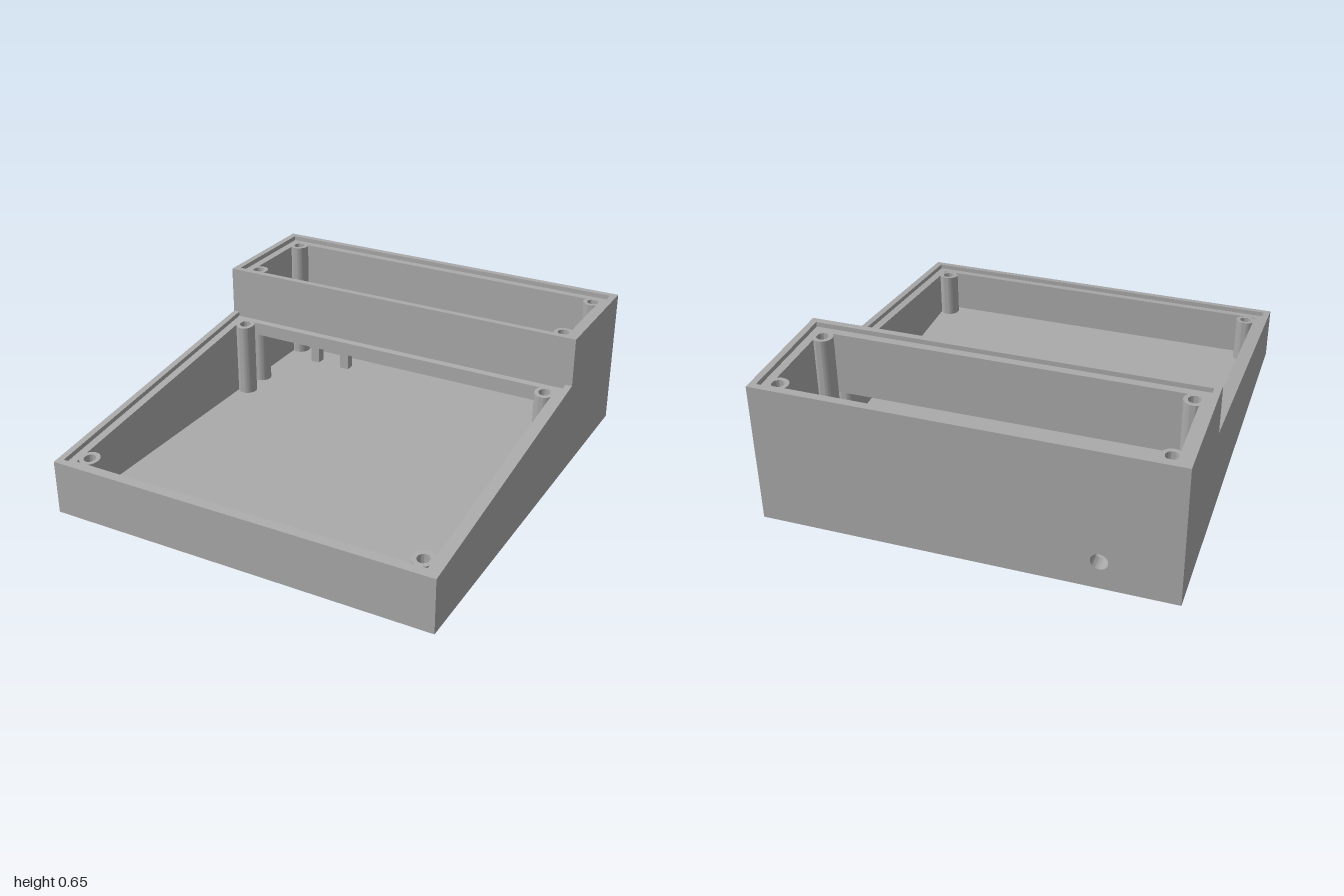
import * as THREE from 'three';
import { toCreasedNormals } from 'three/addons/utils/BufferGeometryUtils.js';

const W = 0.9, LIP = 0.03, WALL = 0.067, LEDGE = 0.022, FLOOR = 0.03;
const TALL = 0.65, STEP_Z = -0.41;
const SLOPE = (0.423 - 0.25) / (1 - STEP_Z);
const slopeY = z => 0.25 + (1 - z) * SLOPE;

export function createModel() {
  const group = new THREE.Group();
  const plastic = new THREE.MeshStandardMaterial({ color: 0xaaaaaa });
  plastic.name = 'grey plastic';

  const add = (name, geometry) => {
    const mesh = new THREE.Mesh(geometry, plastic);
    mesh.name = name;
    group.add(mesh);
    return mesh;
  };
  const polygon = pts => new THREE.Shape(pts.map(p => new THREE.Vector2(...p)));
  const circle = (x, y, r) => new THREE.Path().absarc(x, y, r, 0, Math.PI * 2, true);
  const extrude = (shape, depth) =>
    new THREE.ExtrudeGeometry(shape, { depth, bevelEnabled: false, curveSegments: 32 });

  // Extrudes a [z, y] profile from x0 to x1
  const acrossX = (name, pts, x0, x1) =>
    add(name, extrude(polygon(pts), x1 - x0).rotateY(-Math.PI / 2).translate(x1, 0, 0));

  // Extrudes an [x, -z] shape upward from y
  const upward = (shape, y, height) => extrude(shape, height).rotateX(-Math.PI / 2).translate(0, y, 0);

  // Floor, with four shallow round foot recesses underneath
  const rectangle = () => polygon([[-W, -1], [W, -1], [W, 1], [-W, 1]]);
  const base = rectangle();
  for (const x of [-0.76, 0.76]) for (const z of [-0.86, 0.85]) base.holes.push(circle(x, -z, 0.08));
  add('baseWithFootRecesses', toCreasedNormals(upward(base, 0, FLOOR / 2), 0.5));
  add('floor', upward(rectangle(), FLOOR / 2, FLOOR / 2));

  // Side walls: tall outer lip and lower inner ledge
  const sideProfile = drop => [
    [1, 0], [1, slopeY(1) - drop], [STEP_Z, slopeY(STEP_Z) - drop],
    [STEP_Z, TALL - drop], [-1, TALL - drop], [-1, 0],
  ];
  for (const [side, s] of [['left', 1], ['right', -1]]) {
    const wall = (name, pts, a, b) => acrossX(side + name, pts, Math.min(s * a, s * b), Math.max(s * a, s * b));
    wall('OuterWall', sideProfile(0), W - LIP, W);
    wall('InnerWall', sideProfile(LEDGE), W - WALL, W - LIP);
  }

  // Front wall with its ledge
  const inX = W - LIP;
  acrossX('frontWall', [
    [1, 0], [1, slopeY(1)], [1 - LIP, slopeY(1 - LIP)], [1 - LIP, slopeY(1 - LIP) - LEDGE],
    [1 - WALL, slopeY(1 - WALL) - LEDGE], [1 - WALL, 0],
  ], -inX, inX);

  // Divider hanging between the sloped and the tall compartment, open below
  const backZ = STEP_Z - LIP, frontZ = STEP_Z + 0.03;
  acrossX('divider', [
    [frontZ, 0.335], [frontZ, slopeY(frontZ) - LEDGE], [STEP_Z, slopeY(STEP_Z) - LEDGE],
    [STEP_Z, TALL], [backZ, TALL], [backZ, TALL - LEDGE],
    [STEP_Z - WALL, TALL - LEDGE], [STEP_Z - WALL, 0.335],
  ], -inX, inX);

  // Back wall in two layers with a round cable hole
  for (const [name, top, depth, z] of [
    ['backOuterWall', TALL, LIP, -1],
    ['backInnerWall', TALL - LEDGE, WALL - LIP, -1 + LIP],
  ]) {
    const shape = polygon([[-inX, 0], [inX, 0], [inX, top], [-inX, top]]);
    shape.holes.push(circle(-0.567, 0.133, 0.037));
    add(name, toCreasedNormals(extrude(shape, depth).translate(0, 0, z), 0.5));
  }

  // Screw posts with blind holes; front ones are cut along the slope
  const post = (name, x, z, top, slope) => {
    const height = top - FLOOR;
    const ring = new THREE.Shape().absarc(0, 0, 0.046, 0, Math.PI * 2, false);
    ring.holes.push(circle(0, 0, 0.027));
    const geometry = upward(ring, 0, height);
    const p = geometry.attributes.position;
    for (let i = 0; i < p.count; i++) {
      if (p.getY(i) > height / 2) p.setY(i, p.getY(i) - p.getZ(i) * slope);
    }
    add(name, toCreasedNormals(geometry, 0.5)).position.set(x, FLOOR, z);
    const plug = height - 0.1;
    add(name + 'Core', new THREE.CylinderGeometry(0.0275, 0.0275, plug, 32))
      .position.set(x, FLOOR + plug / 2, z);
  };
  for (const s of [-1, 1]) {
    for (const z of [-0.35, 0.89]) post('slopePost', s * 0.795, z, slopeY(z) - LEDGE, SLOPE);
    for (const z of [-0.91, -0.51]) post('tallPost', s * 0.808, z, TALL - LEDGE, 0);
  }

  // Two small blocks flanking the cable hole
  for (const x of [-0.655, -0.48]) {
    add('socketBlock', new THREE.BoxGeometry(0.048, 0.13, 0.048)).position.set(x, FLOOR + 0.065, -0.823);
  }

  return group;
}
